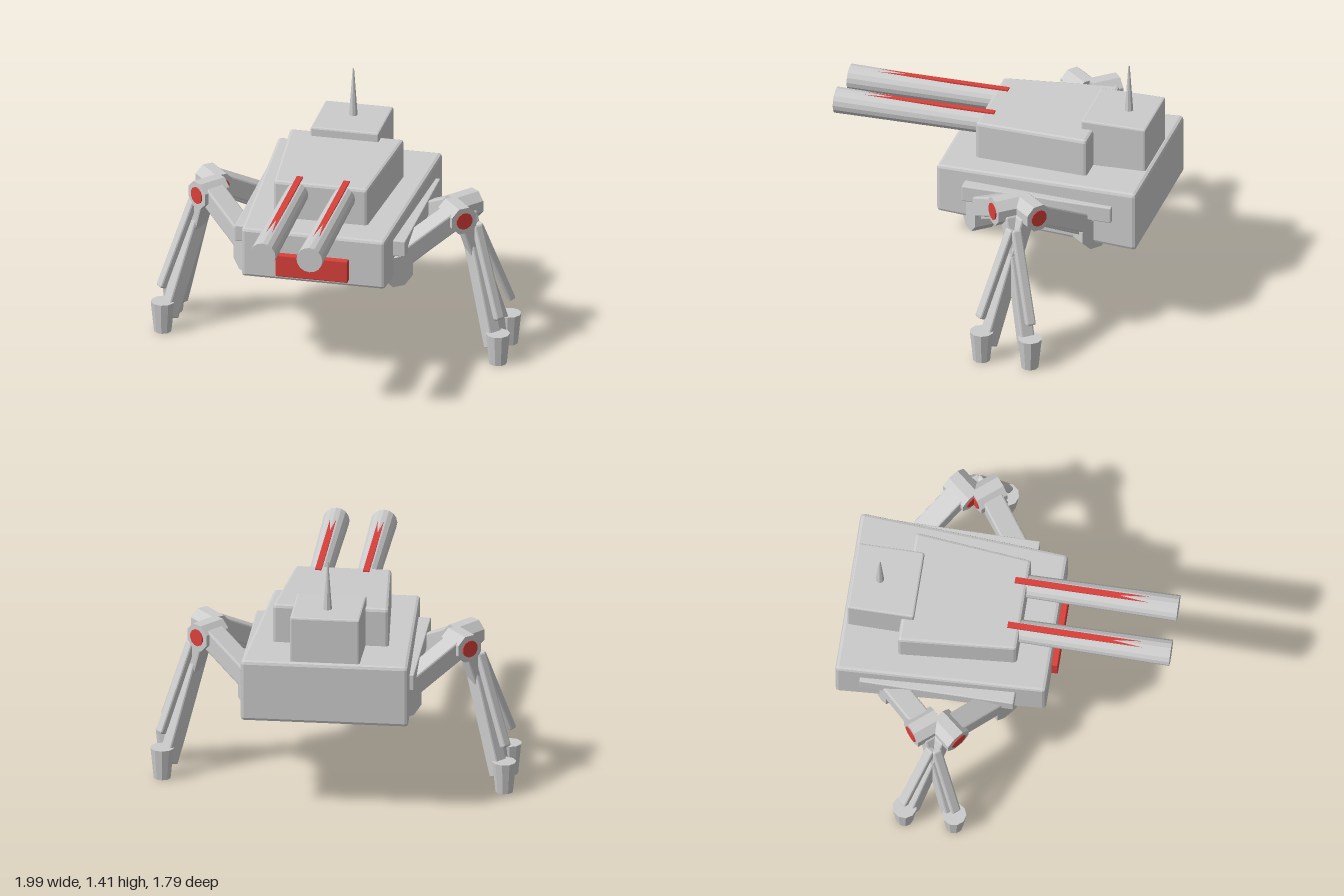
import * as THREE from 'three';
import { RoundedBoxGeometry } from 'three/addons/geometries/RoundedBoxGeometry.js';

const grey = new THREE.MeshStandardMaterial({ color: 0xcccccc, flatShading: true });
grey.name = 'hullGrey';
const red = new THREE.MeshStandardMaterial({ color: 0xd9403a, flatShading: true });
red.name = 'signalRed';

function add(parent, name, geometry, material = grey) {
  const mesh = new THREE.Mesh(geometry, material);
  mesh.name = name;
  parent.add(mesh);
  return mesh;
}

// Box with small bevels between two corners
function block(parent, name, min, max, bevel, material) {
  const size = max.map((v, i) => v - min[i]);
  const mesh = add(parent, name, new RoundedBoxGeometry(...size, 1, bevel), material);
  mesh.position.set(...max.map((v, i) => (v + min[i]) / 2));
  return mesh;
}

// Shrinks a block towards its front end; yPivot is the height left unchanged
function taperFront(mesh, depth, sx, sy, yPivot) {
  const p = mesh.geometry.attributes.position;
  for (let i = 0; i < p.count; i++) {
    const t = p.getZ(i) / depth + 0.5;
    p.setX(i, p.getX(i) * (1 + (sx - 1) * t));
    p.setY(i, yPivot + (p.getY(i) - yPivot) * (1 + (sy - 1) * t));
  }
  mesh.geometry.computeVertexNormals();
}

// Straight bevelled bar in the leg's own xy plane
function bar(parent, name, [x0, y0], [x1, y1], thickness, width, bevel = 0.01) {
  const length = Math.hypot(x1 - x0, y1 - y0);
  const mesh = add(parent, name, new RoundedBoxGeometry(length, thickness, width, 1, bevel));
  mesh.position.set((x0 + x1) / 2, (y0 + y1) / 2, 0);
  mesh.rotation.z = Math.atan2(y1 - y0, x1 - x0);
  return mesh;
}

// Joint cylinder lying across the leg
function joint(parent, name, x, y, radius, width, sides, material) {
  const geometry = new THREE.CylinderGeometry(radius, radius, width, sides);
  geometry.rotateY(Math.PI / sides).rotateX(Math.PI / 2);
  const mesh = add(parent, name, geometry, material);
  mesh.position.set(x, y, 0);
  return mesh;
}

// One leg, reaching out along its local +x
function makeLeg(name) {
  const leg = new THREE.Group();
  leg.name = name;
  joint(leg, 'hipJoint', 0, 0.59, 0.093, 0.12, 8);
  bar(leg, 'thigh', [0.03, 0.655], [0.385, 0.835], 0.11, 0.12);
  bar(leg, 'thighStrut', [0.02, 0.585], [0.37, 0.77], 0.05, 0.05);
  joint(leg, 'kneeJoint', 0.385, 0.82, 0.08, 0.165, 8);
  joint(leg, 'kneeCap', 0.385, 0.82, 0.048, 0.177, 12, red);
  bar(leg, 'shin', [0.424, 0.8], [0.664, 0.08], 0.085, 0.08);
  bar(leg, 'shinGuard', [0.509, 0.75], [0.711, 0.26], 0.04, 0.055);
  const foot = add(leg, 'foot', new THREE.CylinderGeometry(0.066, 0.048, 0.175, 10));
  foot.position.set(0.7, 0.0875, 0);
  return leg;
}

export function createModel() {
  const model = new THREE.Group();
  model.name = 'walkerTank';

  // Hull, wider and taller at the back
  const hull = block(model, 'hull', [-0.458, 0.53, -0.895], [0.458, 0.88, 0.25], 0.02);
  taperFront(hull, 1.145, 0.87, 0.81, 0);
  block(model, 'frontPlate', [-0.2, 0.598, 0.2], [0.2, 0.725, 0.285], 0.005, red);

  // Turret and rear housing
  const turret = block(model, 'turret', [-0.318, 0.83, -0.575], [0.318, 1.087, 0.07], 0.018);
  taperFront(turret, 0.645, 0.82, 0.91, -0.1285);
  block(model, 'rearHousing', [-0.19, 0.8, -0.87], [0.19, 1.135, -0.505], 0.01);

  // Antenna
  const antenna = add(model, 'antenna', new THREE.CylinderGeometry(0.004, 0.025, 0.29, 8));
  antenna.position.set(0, 1.265, -0.72);

  for (const side of [-1, 1]) {
    // Gun barrel, slightly wider at the muzzle
    const barrel = add(model, 'barrel', new THREE.CylinderGeometry(0.072, 0.062, 0.9, 16));
    barrel.rotation.x = Math.PI / 2;
    barrel.position.set(side * 0.13, 1.001, 0.445);

    // Red stripe sinking into the top of the barrel
    const stripe = add(model, 'barrelStripe', new THREE.BoxGeometry(0.034, 0.009, 0.76), red);
    stripe.rotation.x = 0.009;
    stripe.position.set(side * 0.13, 1.0666, 0.38);

    // Side rail carrying the legs
    const rail = block(model, 'sideRail', [0.36, 0.692, -0.76], [0.475, 0.785, 0.085], 0.006);
    rail.position.x *= side;

    // Two legs per side, crossing at the knees
    for (const end of [-1, 1]) {
      const leg = makeLeg(end > 0 ? 'frontLeg' : 'rearLeg');
      const yaw = end * THREE.MathUtils.degToRad(40);
      leg.rotation.y = side > 0 ? yaw : Math.PI - yaw;
      leg.position.set(side * 0.395, 0, -0.304 + end * 0.314);
      model.add(leg);
    }
  }
  return model;
}
